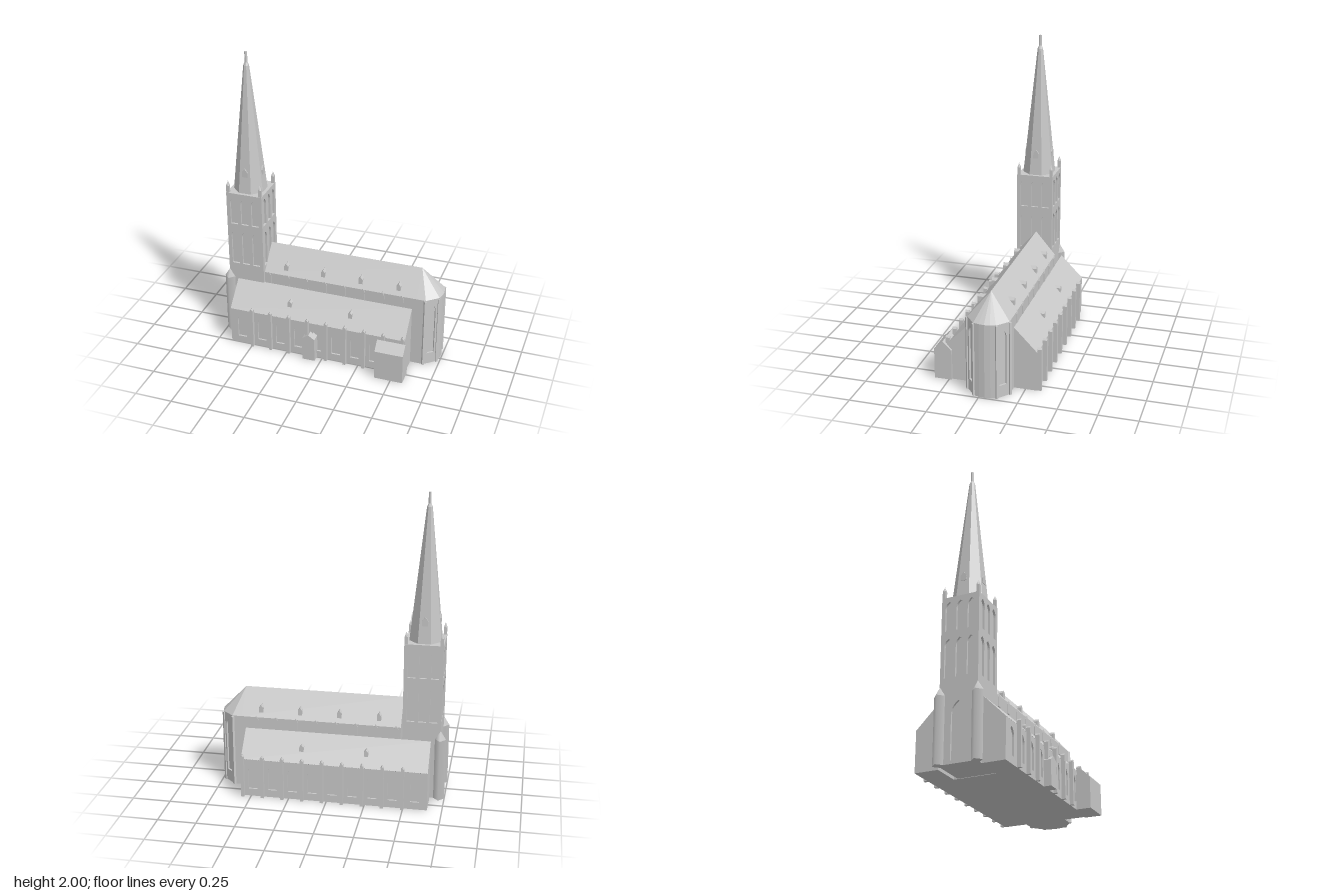
import * as THREE from 'three';

const stone = new THREE.MeshStandardMaterial({ color: 0xc8c8c8 });
stone.name = 'grey stone';

const polygon = (pts) => new THREE.Shape(pts.map(([x, y]) => new THREE.Vector2(x, y)));
const extrude = (shape, depth) => new THREE.ExtrudeGeometry(shape, { depth, bevelEnabled: false, curveSegments: 5 });

function add(parent, name, geometry, x = 0, y = 0, z = 0, turn = 0) {
  const mesh = new THREE.Mesh(geometry, stone);
  mesh.name = name;
  mesh.position.set(x, y, z);
  mesh.rotation.y = turn;
  parent.add(mesh);
  return mesh;
}

// Box standing on y0
const block = (parent, name, w, h, d, x, y0, z) =>
  add(parent, name, new THREE.BoxGeometry(w, h, d), x, y0 + h / 2, z);

// Cross-section of [z, y] points swept along x
const prismX = (parent, name, pts, x0, x1) =>
  add(parent, name, extrude(polygon(pts.map(([z, y]) => [-z, y])), x1 - x0), x0, 0, 0, Math.PI / 2);

// House-shaped block whose front lies at the local origin, facing local +z
function gabled(parent, name, w, eaves, top, depth, x, y, z, turn) {
  const g = extrude(polygon([[-w / 2, 0], [w / 2, 0], [w / 2, eaves], [0, top], [-w / 2, eaves]]), depth);
  g.translate(0, 0, -depth);
  return add(parent, name, g, x, y, z, turn);
}

// Pointed-arch outline
function lancet(path, u, w, bottom, top) {
  const h = w / 2, spring = top - w * 0.9;
  path.moveTo(u - h, bottom);
  path.lineTo(u + h, bottom);
  path.lineTo(u + h, spring);
  path.quadraticCurveTo(u + h, top - w * 0.35, u, top);
  path.quadraticCurveTo(u - h, top - w * 0.35, u - h, spring);
  return path;
}

// Wall skin pierced by pointed niches [u, width, bottom, top]
function nicheWall(parent, name, u0, u1, h, t, niches, x, z, turn) {
  const shape = polygon([[u0, 0], [u1, 0], [u1, h], [u0, h]]);
  for (const n of niches) shape.holes.push(lancet(new THREE.Path(), ...n));
  const g = extrude(shape, t);
  g.translate(0, 0, -t);
  return add(parent, name, g, x, 0, z, turn);
}

function buildNave(church) {
  // Body with a polygonal, softly rounded east end
  const half = [[-0.46, 0.136], [0.65, 0.136], [0.647, 0.127], [0.722, 0.063], [0.731, 0.068], [0.739, 0.036]];
  const plan = [...half, [0.744, 0], ...half.map(([x, z]) => [x, -z]).reverse()];
  const body = extrude(polygon(plan), 0.495);
  body.rotateX(-Math.PI / 2);
  add(church, 'naveBody', body);
  prismX(church, 'naveRoof', [[0.136, 0.495], [0, 0.655], [-0.136, 0.495]], -0.46, 0.59);

  // Fan of roof faces over the apse
  const edge = [[0.59, 0.136], [0.655, 0.136], [0.73, 0.072], [0.739, 0.036]];
  const rim = [...edge, [0.744, 0], ...edge.map(([x, z]) => [x, -z]).reverse()];
  const verts = [];
  for (let i = 0; i < rim.length - 1; i++) {
    const [a, b] = [rim[i], rim[i + 1]];
    verts.push(0.59, 0.655, 0, a[0], 0.495, a[1], b[0], 0.495, b[1]);
  }
  const fan = new THREE.BufferGeometry();
  fan.setAttribute('position', new THREE.Float32BufferAttribute(verts, 3));
  fan.computeVertexNormals();
  add(church, 'apseRoof', fan);

  for (const s of [1, -1]) {
    const face = s > 0 ? 0 : Math.PI;
    // Apse windows and corner piers
    const turn = s > 0 ? 0.706 : Math.PI - 0.706;
    nicheWall(church, 'apseWall', -0.0493, 0.0493, 0.495, 0.012, [[0, 0.05, 0.08, 0.45]], 0.6925, s * 0.104, turn);
    for (const [x, z] of [[0.653, 0.138], [0.727, 0.074]]) {
      block(church, 'apsePier', 0.016, 0.49, 0.016, x, 0, s * z).rotation.y = turn;
    }
    // Clerestory windows and roof dormers
    for (let i = 0; i < 8; i++) {
      gabled(church, 'clerestoryWindow', 0.03, 0.06, 0.085, 0.009, -0.43 + i * 0.132, 0.42, s * 0.141, face);
    }
    for (let i = 0; i < 4; i++) {
      gabled(church, 'naveDormer', 0.028, 0.034, 0.052, 0.05, -0.315 + i * 0.26, 0.52, s * 0.114, face);
    }
  }
}

function buildAisle(church, s) {
  const face = s > 0 ? 0 : Math.PI;
  const profile = [[0.136, 0], [0.276, 0], [0.276, 0.25], [0.288, 0.26], [0.136, 0.415]];
  prismX(church, 'aisleBody', profile.map(([z, y]) => [z * s, y]), -0.655, 0.565);

  // Outer wall with a window in each bay
  const niches = [[-0.575 * s, 0.06, 0.05, 0.225]];
  for (let i = 0; i < 8; i++) niches.push([(-0.431 + i * 0.131) * s, 0.06, 0.05, 0.225]);
  const ends = [-0.655 * s, 0.565 * s].sort((a, b) => a - b);
  nicheWall(church, 'aisleWall', ends[0], ends[1], 0.259, 0.012, niches, 0, s * 0.288, face);

  // Buttresses with small gabled caps
  for (let i = 0; i < 9; i++) {
    gabled(church, 'aisleButtress', 0.02, 0.283, 0.295, 0.028, -0.496 + i * 0.131, 0, s * 0.313, face);
  }
  for (const x of [-0.25, 0.173]) {
    gabled(church, 'aisleDormer', 0.028, 0.032, 0.046, 0.045, x, 0.315, s * 0.232, face);
  }
}

function buildTower(church) {
  const tower = new THREE.Group();
  tower.name = 'tower';
  tower.position.set(-0.591, 0, 0.016);
  church.add(tower);
  const r = 0.124, t = 0.014;
  block(tower, 'towerCore', 2 * (r - t), 1.055, 2 * (r - t), 0, 0, 0);

  // Four faces with two tiers of three windows
  for (let k = 0; k < 4; k++) {
    const a = k * Math.PI / 2;
    const niches = [];
    for (const u of [-0.074, 0, 0.074]) niches.push([u, 0.05, 0.53, 0.78], [u, 0.05, 0.83, 1.025]);
    if (k === 3) niches.push([0, 0.09, 0.02, 0.38]); // west portal
    nicheWall(tower, 'towerWall', -r, r, 1.055, t, niches, Math.sin(a) * r, Math.cos(a) * r, a);
    // Spire dormer on each main face
    gabled(tower, 'spireDormer', 0.038, 0.035, 0.06, 0.04, Math.sin(a) * 0.094, 1.17, Math.cos(a) * 0.094, a);
  }

  // Pinnacles on the corners, diagonal buttresses on the west side
  for (const sx of [1, -1]) for (const sz of [1, -1]) {
    const x = sx * 0.113, z = sz * 0.113;
    block(tower, 'pinnacle', 0.02, 0.05, 0.02, x, 1.055, z);
    add(tower, 'pinnacleCap', new THREE.ConeGeometry(0.0141, 0.032, 4, 1).rotateY(Math.PI / 4), x, 1.121, z);
    if (sx < 0) {
      add(tower, 'towerButtress', new THREE.CylinderGeometry(0.037, 0.037, 0.42, 4), -0.122, 0.21, sz * 0.122);
      add(tower, 'buttressCap', new THREE.ConeGeometry(0.037, 0.06, 4, 1), -0.122, 0.45, sz * 0.122);
    }
  }

  // Octagonal spire, given as [bottom radius, top radius, y0, y1] across the flats
  for (const [a, b, y0, y1] of [[0.102, 0.017, 1.055, 1.91], [0.017, 0.009, 1.91, 1.93], [0.009, 0.008, 1.93, 2]]) {
    const c = Math.cos(Math.PI / 8);
    const g = new THREE.CylinderGeometry(b / c, a / c, y1 - y0, 8).rotateY(Math.PI / 8).toNonIndexed();
    g.computeVertexNormals();
    add(tower, 'spire', g, 0, (y0 + y1) / 2, 0);
  }
}

export function createModel() {
  const model = new THREE.Group();
  model.name = 'church';
  const church = new THREE.Group();
  church.name = 'building';
  church.position.z = -0.038; // axis of the nave
  model.add(church);

  buildNave(church);
  buildAisle(church, 1);
  buildAisle(church, -1);
  buildTower(church);

  // Front porch and side chapel
  gabled(church, 'porch', 0.085, 0.165, 0.195, 0.06, -0.082, 0, 0.336, 0);
  prismX(church, 'chapel', [[0.27, 0], [0.384, 0], [0.384, 0.205], [0.327, 0.262], [0.27, 0.205]], 0.39, 0.58);
  return model;
}
